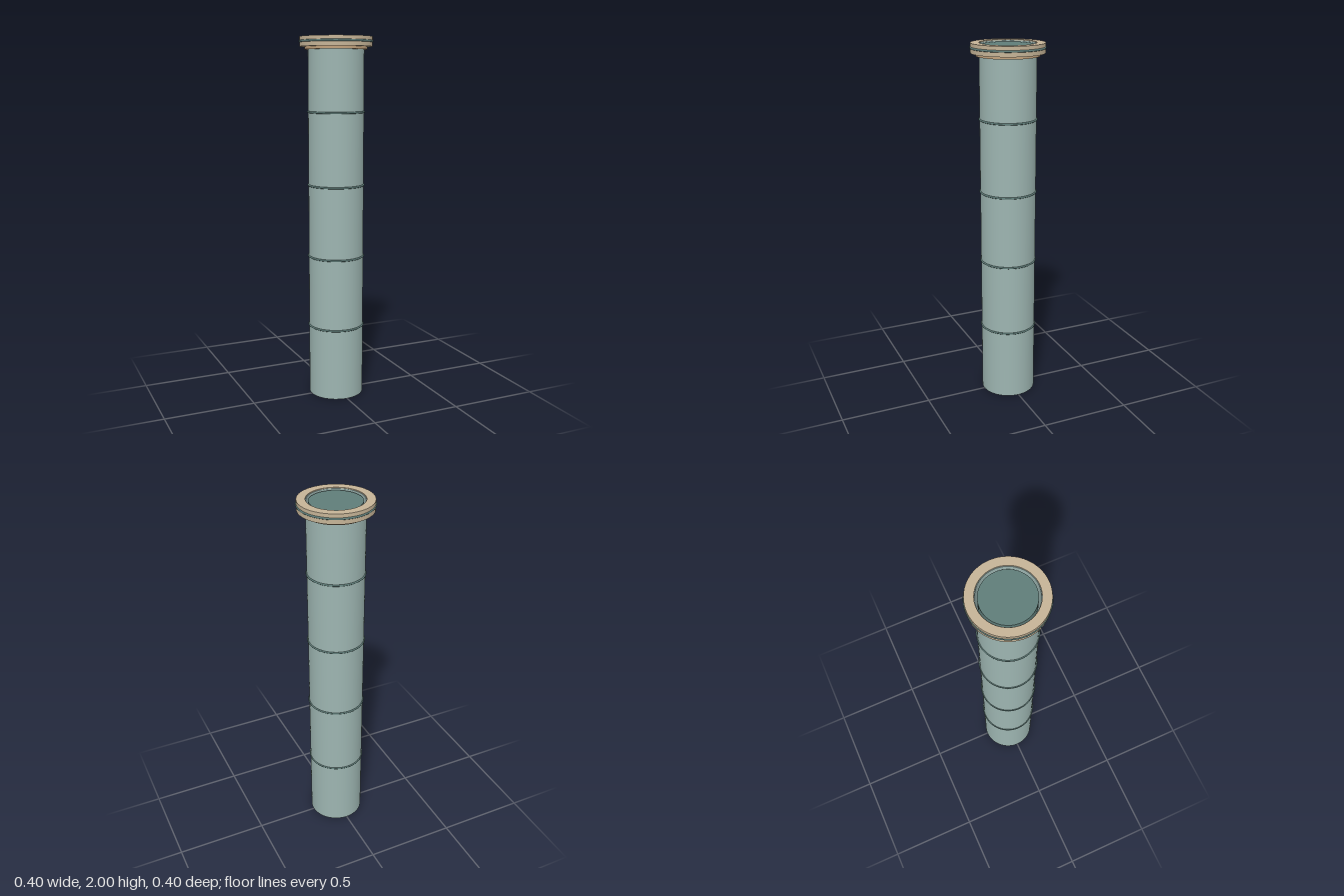
import * as THREE from 'three';

const paint = (name, color) => {
  const m = new THREE.MeshStandardMaterial({ color });
  m.name = name;
  return m;
};

export function createModel() {
  const group = new THREE.Group();
  const paleTeal = paint('pale teal', 0x9db5b1);
  const deepTeal = paint('deep teal', 0x5f7d79);
  const sand = paint('sand', 0xc6b497);
  const tan = paint('tan', 0xc2a27c);
  const SEG = 64;

  const add = (name, geometry, material, y = 0) => {
    const mesh = new THREE.Mesh(geometry, material);
    mesh.name = name;
    mesh.position.y = y;
    group.add(mesh);
    return mesh;
  };

  // Ring with a rectangular section; each corner is doubled to stay sharp
  const ring = (inner, outer, y0, y1) => {
    const c = [[inner, y0], [outer, y0], [outer, y1], [inner, y1]];
    const points = [];
    c.forEach((p, i) => {
      points.push(new THREE.Vector2(...p), new THREE.Vector2(...c[(i + 1) % 4]));
    });
    return new THREE.LatheGeometry(points, SEG);
  };

  // Horizontal round bead
  const bead = (radius, tube) =>
    new THREE.TorusGeometry(radius, tube, 10, SEG).rotateX(Math.PI / 2);

  // Hollow outer sleeve and the solid core standing free inside it
  add('sleeve', ring(0.148, 0.152, 0, 1.995), paleTeal);
  add('core', new THREE.CylinderGeometry(0.137, 0.137, 1.99, SEG), deepTeal, 0.995);

  // Evenly spaced bands around the sleeve
  for (let i = 1; i <= 4; i++) add(`band${i}`, bead(0.152, 0.0055), deepTeal, i * 0.4);

  // Flange at the top, its rim bead and the stepped collar below
  add('flange', ring(0.151, 0.197, 1.947, 2), sand);
  add('flangeBead', bead(0.195, 0.006), deepTeal, 1.975);
  add('collar', ring(0.151, 0.169, 1.932, 1.947), tan);

  return group;
}
